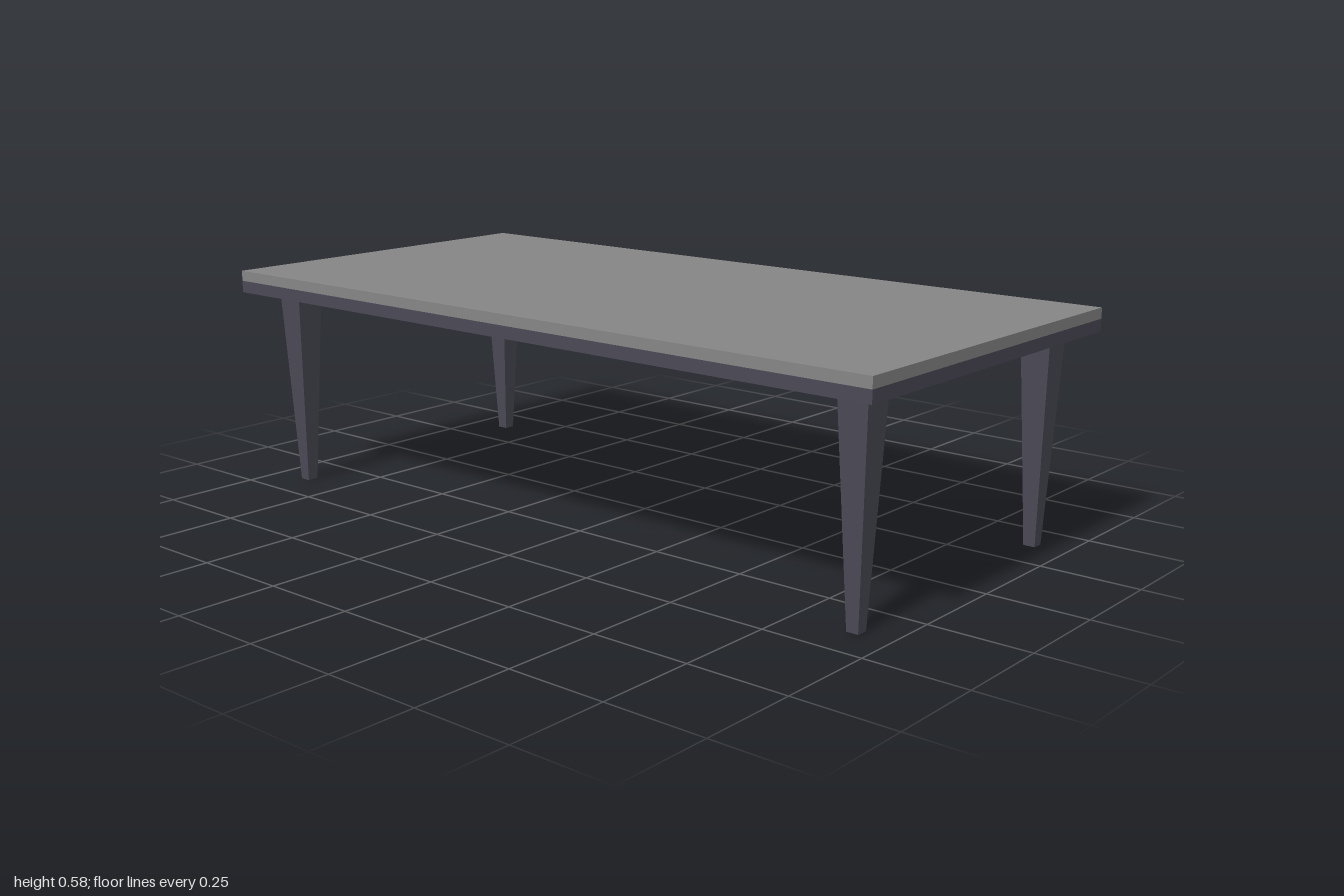
import * as THREE from 'three';

const topGrey = new THREE.MeshStandardMaterial({ name: 'topGrey', color: 0x868686 });
const darkFrame = new THREE.MeshStandardMaterial({ name: 'darkFrame', color: 0x4b4a56 });

function slab(name, material, y0, y1) {
  const mesh = new THREE.Mesh(new THREE.BoxGeometry(0.982, y1 - y0, 2), material);
  mesh.name = name;
  mesh.position.y = (y0 + y1) / 2;
  return mesh;
}

// Square leg that narrows towards the floor
function legGeometry(height, topWidth, footWidth) {
  const geometry = new THREE.BoxGeometry(1, height, 1);
  const p = geometry.attributes.position;
  for (let i = 0; i < p.count; i++) {
    const w = p.getY(i) > 0 ? topWidth : footWidth;
    p.setX(i, p.getX(i) * w);
    p.setZ(i, p.getZ(i) * w);
  }
  geometry.translate(0, height / 2, 0);
  geometry.computeVertexNormals();
  return geometry;
}

export function createModel() {
  const table = new THREE.Group();
  table.name = 'lowTable';

  // Two-layer table top
  table.add(slab('underTop', darkFrame, 0.522, 0.553));
  table.add(slab('tableTop', topGrey, 0.553, 0.58));

  // Four tapered legs, the front pair slightly nearer its edge
  const geometry = legGeometry(0.522, 0.077, 0.03);
  for (const [zName, z] of [['front', 0.908], ['back', -0.892]]) {
    for (const [xName, x] of [['Left', 0.382], ['Right', -0.382]]) {
      const leg = new THREE.Mesh(geometry, darkFrame);
      leg.name = `${zName}${xName}Leg`;
      leg.position.set(x, 0, z);
      table.add(leg);
    }
  }
  return table;
}
